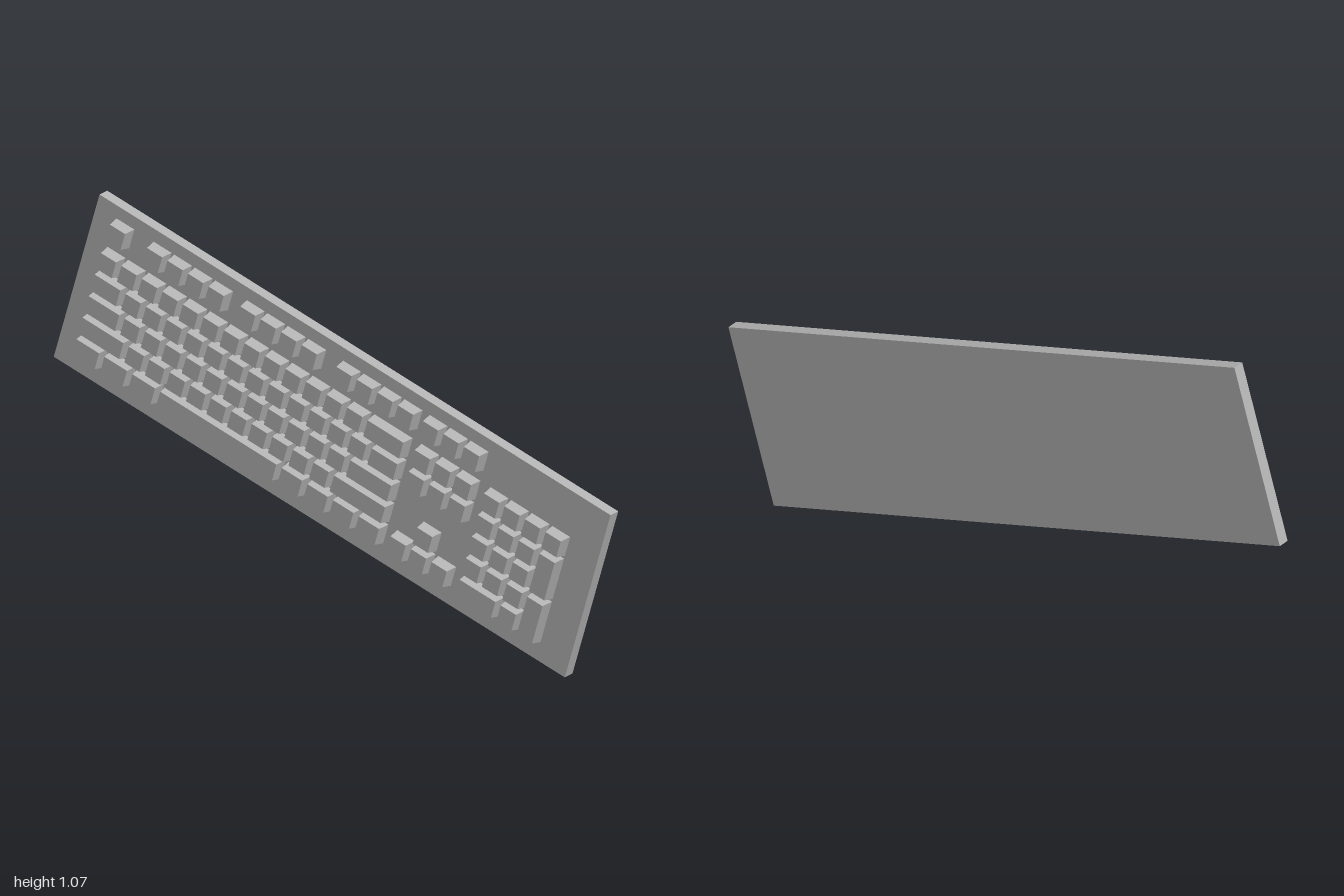
import * as THREE from 'three';

const P = 0.0765;      // key pitch across
const ROW = 0.075;     // key pitch between rows
const U0 = -0.8835;    // left edge of the key field
const GAP = 0.010;     // space between neighbouring keys
const THICK = 0.037;   // case thickness
const RISE = 0.037;    // key height
const INSET = 0.005;   // taper of a key towards its top

// Box whose front face is inset on all sides
function keyGeometry(w, h) {
  const g = new THREE.BoxGeometry(w, h, RISE);
  const p = g.attributes.position;
  for (let i = 0; i < p.count; i++) {
    if (p.getZ(i) > 0) {
      p.setX(i, p.getX(i) - Math.sign(p.getX(i)) * INSET);
      p.setY(i, p.getY(i) - Math.sign(p.getY(i)) * INSET);
    }
  }
  g.computeVertexNormals();
  return g;
}

export function createModel() {
  const grey = new THREE.MeshStandardMaterial({ color: 0xb2b2b2 });
  grey.name = 'grey plastic';
  const model = new THREE.Group();
  model.name = 'keyboard';
  const board = new THREE.Group();
  board.name = 'board';
  model.add(board);

  // Flat case
  const base = new THREE.Mesh(new THREE.BoxGeometry(1.905, 0.564, THICK), grey);
  base.name = 'case';
  board.add(base);

  // One key: left edge and width in pitches, centre height, rows covered
  function addKey(parent, left, width, v, rows = 1) {
    const key = new THREE.Mesh(keyGeometry(width * P - GAP, rows * ROW - GAP), grey);
    key.name = 'key';
    key.position.set(U0 + (left + width / 2) * P, v - (rows - 1) * ROW / 2, (THICK + RISE) / 2);
    parent.add(key);
  }
  function addRow(parent, left, v, widths) {
    for (const w of widths) {
      addKey(parent, left, w, v);
      left += w;
    }
  }
  function block(name) {
    const g = new THREE.Group();
    g.name = name;
    board.add(g);
    return g;
  }
  const ones = (n) => new Array(n).fill(1);
  const rowV = (i) => 0.110 - i * ROW;

  // Separate row of keys along the top
  const upper = block('topRowKeys');
  addRow(upper, 0.02, 0.2105, [1]);
  for (const start of [1.83, 6.37, 11.06]) addRow(upper, start, 0.2105, ones(4));
  addRow(upper, 15.28, 0.2105, ones(3));

  // Main typing keys
  const main = block('mainKeys');
  [
    [...ones(13), 2],
    [1.5, ...ones(12), 1.5],
    [1.75, ...ones(11), 2.25],
    [2.25, ...ones(10), 2.75],
    [1.36, 1.36, 1.36, 5.92, 1.25, 1.25, 1.25, 1.25],
  ].forEach((widths, i) => addRow(main, -0.02, rowV(i), widths));

  // Navigation keys and arrows
  const nav = block('navigationKeys');
  addRow(nav, 15.28, rowV(0), ones(3));
  addRow(nav, 15.28, rowV(1), ones(3));
  const arrows = block('arrowKeys');
  addRow(arrows, 16.28, rowV(3), [1]);
  addRow(arrows, 15.28, rowV(4), ones(3));

  // Number pad with two double-height keys
  const pad = block('numberPad');
  addRow(pad, 18.65, rowV(0), ones(4));
  for (let i = 1; i < 4; i++) addRow(pad, 18.65, rowV(i), ones(3));
  addRow(pad, 18.65, rowV(4), [2, 1]);
  addKey(pad, 21.65, 1, rowV(1), 2);
  addKey(pad, 21.65, 1, rowV(3), 2);

  // Standing on one corner, leaning slightly back
  board.rotation.set(-0.0148, 0, -0.2827);
  board.position.set(0.003, 0.5415, -0.0165);
  return model;
}
